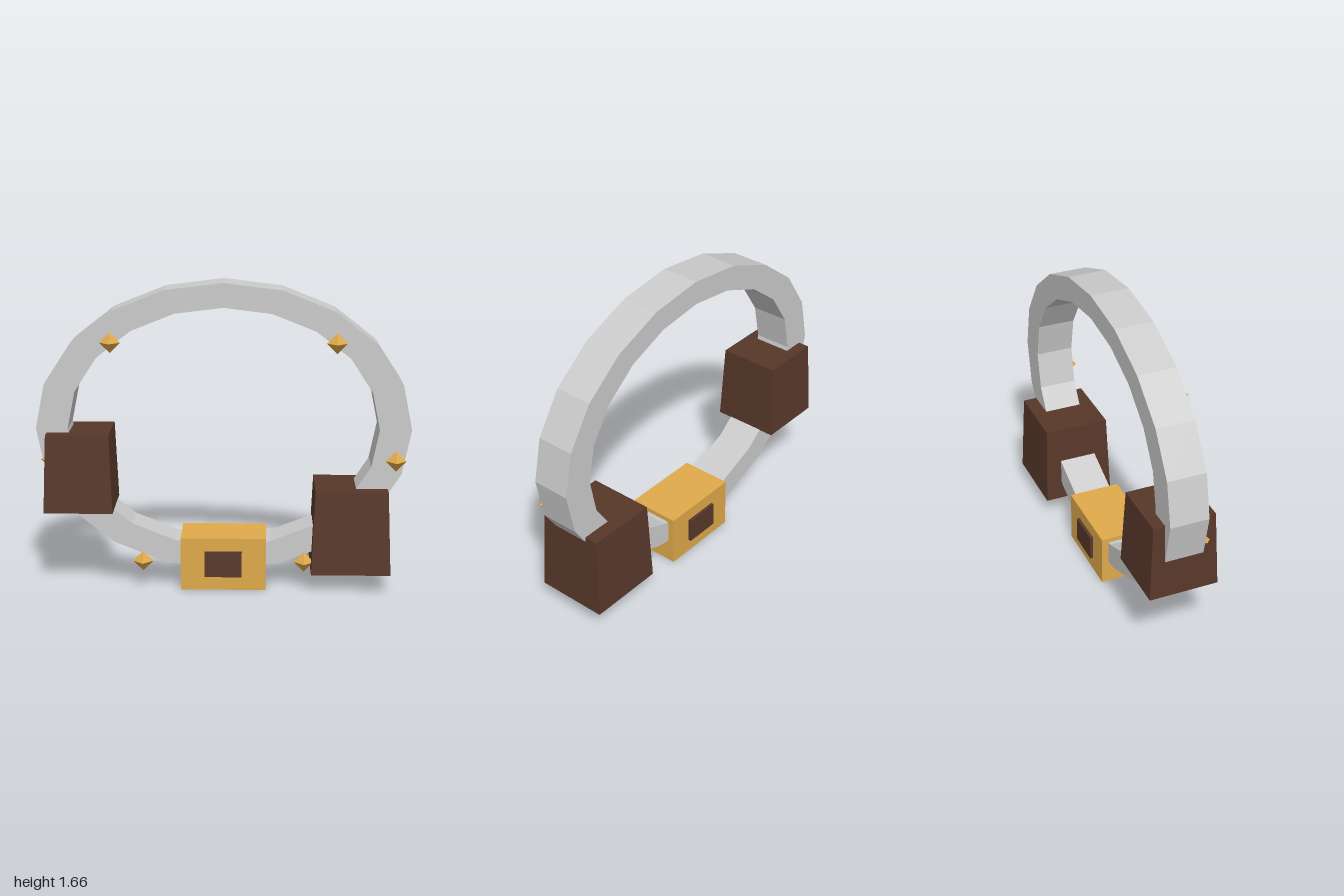
import * as THREE from 'three';

const grey = new THREE.MeshStandardMaterial({ color: 0xcccccc, flatShading: true });
const brass = new THREE.MeshStandardMaterial({ color: 0xe0aa4a, flatShading: true });
const leather = new THREE.MeshStandardMaterial({ color: 0x58382a, flatShading: true });

// Points of a 20-sided ellipse
function ellipse(rx, ry, cy, sides = 20) {
  return Array.from({ length: sides }, (_, i) => {
    const a = (i / sides) * Math.PI * 2;
    return new THREE.Vector2(rx * Math.cos(a), cy + ry * Math.sin(a));
  });
}

// Box narrowing towards the top, standing on its base
function taperedBox(width, height, depth, topX, topZ) {
  const geo = new THREE.BoxGeometry(width, height, depth).translate(0, height / 2, 0);
  const p = geo.attributes.position;
  for (let i = 0; i < p.count; i++) {
    if (p.getY(i) > height / 2) {
      p.setX(i, p.getX(i) * topX);
      p.setZ(i, p.getZ(i) * topZ);
    }
  }
  geo.computeVertexNormals();
  return geo;
}

export function createModel() {
  const model = new THREE.Group();
  const add = (name, geo, mat, x, y, z) => {
    const mesh = new THREE.Mesh(geo, mat);
    mesh.name = name;
    mesh.position.set(x, y, z);
    model.add(mesh);
  };

  // Strap: faceted oval band
  const outline = new THREE.Shape(ellipse(1, 0.78, 0.885));
  outline.holes.push(new THREE.Path(ellipse(0.83, 0.65, 0.885)));
  const strap = new THREE.ExtrudeGeometry(outline, { depth: 0.21, bevelEnabled: false });
  add('strap', strap, grey, 0, 0, -0.105);

  // Buckle with a dark panel showing on front and back
  add('buckle', new THREE.BoxGeometry(0.46, 0.29, 0.286), brass, 0, 0.145, 0);
  add('bucklePanel', new THREE.BoxGeometry(0.2, 0.14, 0.32), leather, 0, 0.147, 0);

  // Pouches, the left one larger and lower
  add('leftPouch', taperedBox(0.426, 0.457, 0.4, 0.91, 0.91), leather, 0.685, 0.106, 0);
  add('rightPouch', taperedBox(0.37, 0.425, 0.375, 0.91, 0.9), leather, -0.775, 0.437, 0);

  // Mirrored pairs of studs on the front of the strap
  const stud = new THREE.OctahedronGeometry(0.055);
  for (const [x, y] of [[0.597, 1.35], [0.92, 0.717], [0.435, 0.152]]) {
    add('leftStud', stud, brass, x, y, 0.113);
    add('rightStud', stud, brass, -x, y, 0.113);
  }
  return model;
}
